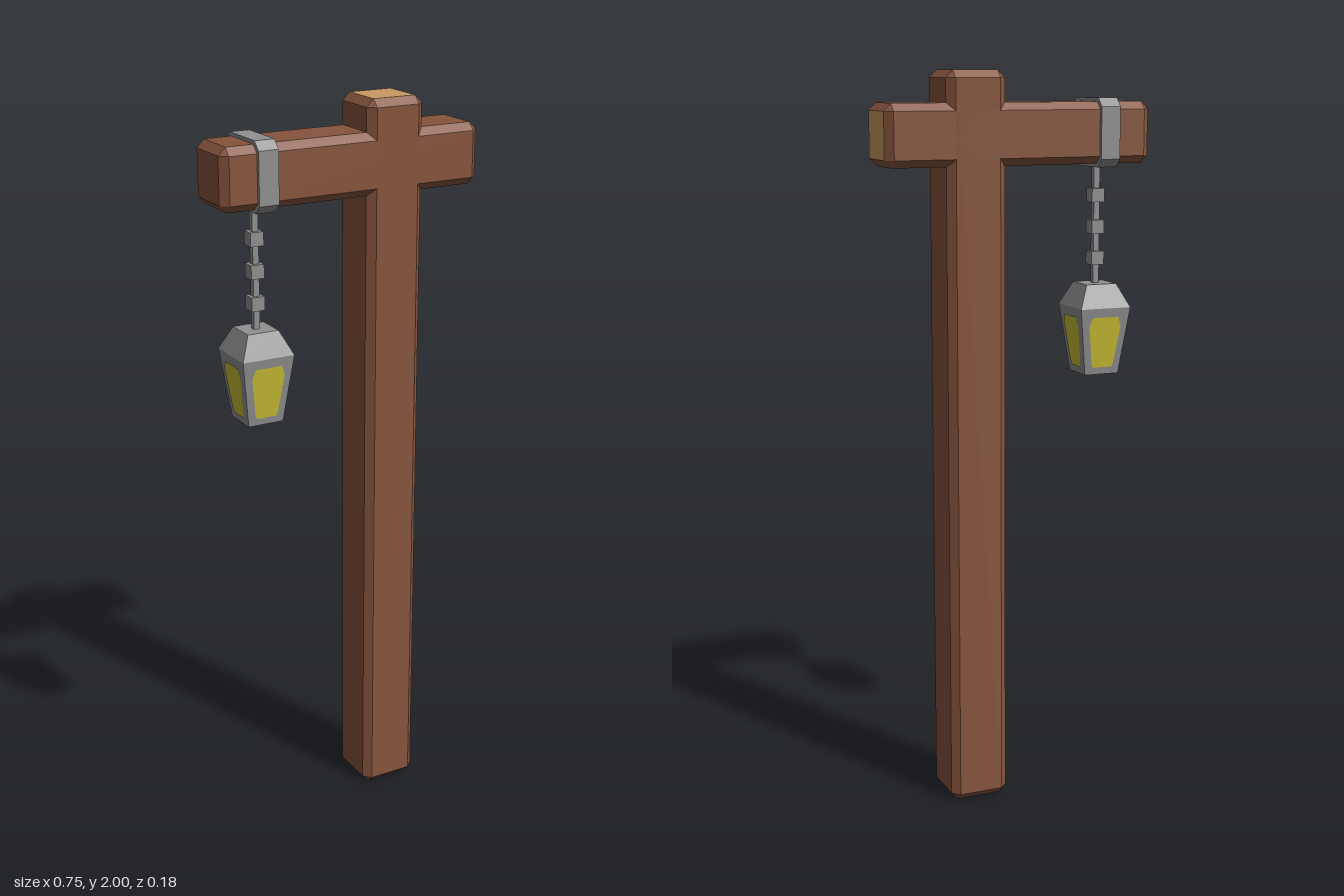
import * as THREE from 'three';
import { ConvexGeometry } from 'three/addons/geometries/ConvexGeometry.js';

function material(name, color) {
  const m = new THREE.MeshStandardMaterial({ color, flatShading: true });
  m.name = name;
  return m;
}

// Box with all edges cut by c; material 1 goes on the flat faces chosen by isCut(normal)
function chamferedBeam(w, h, d, c, isCut) {
  const points = [];
  for (const sx of [-1, 1]) for (const sy of [-1, 1]) for (const sz of [-1, 1]) {
    const x = sx * w / 2, y = sy * h / 2, z = sz * d / 2;
    points.push(
      new THREE.Vector3(x, y - sy * c, z - sz * c),
      new THREE.Vector3(x - sx * c, y, z - sz * c),
      new THREE.Vector3(x - sx * c, y - sy * c, z));
  }
  const geometry = new ConvexGeometry(points);
  const normals = geometry.attributes.normal;
  for (let i = 0; i < normals.count; i += 3) {
    const n = new THREE.Vector3().fromBufferAttribute(normals, i);
    geometry.addGroup(i, 3, isCut(n) ? 1 : 0);
  }
  return geometry;
}

export function createModel() {
  const group = new THREE.Group();
  group.name = 'lanternPost';
  const wood = material('wood', 0x87553d);
  const cutWood = material('cutWood', 0xc89a64);
  const metal = material('metal', 0x909090);
  const glass = material('glass', 0xc8be34);

  function add(name, geometry, mat, x, y, z = 0, parent = group) {
    const mesh = new THREE.Mesh(geometry, mat);
    mesh.name = name;
    mesh.position.set(x, y, z);
    parent.add(mesh);
    return mesh;
  }

  // Timber: cut grain shows on both post ends and on one beam end
  const beamY = 1.836, T = 0.163, cut = 0.02;
  add('post', chamferedBeam(T, 2, T, cut, n => Math.abs(n.y) > 0.99), [wood, cutWood], 0.124, 1);
  add('crossbeam', chamferedBeam(0.746, T, T, cut, n => n.x > 0.99), [wood, cutWood], 0, beamY);

  // Metal strap: octagonal section around the beam
  const lampX = -0.25, r = 0.091, k = r - 0.022;
  const section = new THREE.Shape(
    [[r, -k], [r, k], [k, r], [-k, r], [-r, k], [-r, -k], [-k, -r], [k, -r]]
      .map(([x, y]) => new THREE.Vector2(x, y)));
  const strap = new THREE.ExtrudeGeometry(section, { depth: 0.055, bevelEnabled: false });
  strap.translate(0, 0, -0.0275).rotateY(Math.PI / 2);
  add('strap', strap, metal, lampX, beamY);

  // Chain: thin rod with three square links
  add('chainRod', new THREE.BoxGeometry(0.017, 0.33, 0.017), metal, lampX, 1.587);
  for (const y of [1.667, 1.582, 1.497]) {
    add('chainLink', new THREE.BoxGeometry(0.037, 0.037, 0.037), metal, lampX, y);
  }

  // Lantern: square tapered roof and body
  const lantern = new THREE.Group();
  lantern.name = 'lantern';
  lantern.position.set(lampX, 1.18, 0);
  group.add(lantern);
  const taper = (top, bottom, h, openTop) =>
    new THREE.CylinderGeometry(top * Math.SQRT2, bottom * Math.SQRT2, h, 4, 1)
      .rotateY(Math.PI / 4);
  const bodyH = 0.185, roofH = 0.063, topHalf = 0.074, baseHalf = 0.05;
  add('lanternBody', taper(topHalf, baseHalf, bodyH), metal, 0, bodyH / 2, 0, lantern);
  add('lanternRoof', taper(0.044, topHalf, roofH), metal, 0, bodyH + roofH / 2, 0, lantern);

  // Glass panes lying on the four sloping sides
  const half = [[0.028, 0.02], [0.033, 0.032], [0.047, 0.136], [0.038, 0.162]];
  const outline = [...half, ...half.map(([x, y]) => [-x, y]).reverse()];
  const pane = new THREE.ShapeGeometry(
    new THREE.Shape(outline.map(([x, y]) => new THREE.Vector2(x, y))));
  const tilt = Math.atan2(topHalf - baseHalf, bodyH);
  for (let i = 0; i < 4; i++) {
    const side = new THREE.Group();
    side.name = 'lanternSide';
    side.rotation.y = i * Math.PI / 2;
    lantern.add(side);
    add('glassPane', pane, glass, 0, 0, baseHalf + 0.002, side).rotation.x = tilt;
  }
  return group;
}
